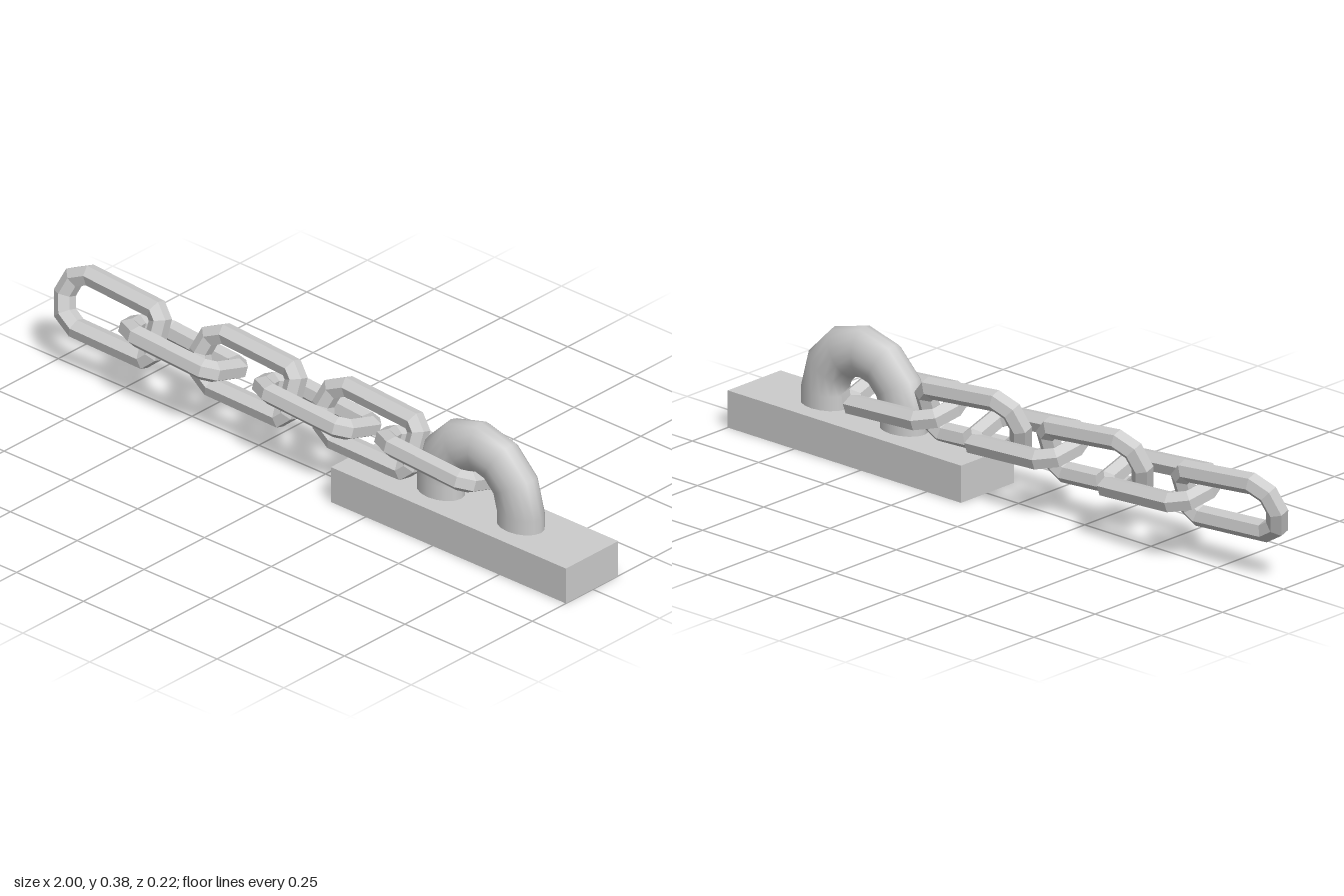
import * as THREE from 'three';

const DEG = Math.PI / 180;

// Closed faceted tube swept along a flat outline, mitred at each corner
function sweptLoop(points, radius, sides) {
  const positions = [], index = [], n = points.length;
  points.forEach((p, i) => {
    const a = p.clone().sub(points[(i + n - 1) % n]).normalize();
    const b = points[(i + 1) % n].clone().sub(p).normalize();
    const tangent = a.clone().add(b).normalize();
    const out = new THREE.Vector2(tangent.y, -tangent.x);
    const mitre = radius / tangent.dot(a);
    for (let k = 0; k < sides; k++) {
      const t = ((k + 0.5) / sides) * Math.PI * 2;
      const d = mitre * Math.cos(t);
      positions.push(p.x + out.x * d, p.y + out.y * d, radius * Math.sin(t));
      const k2 = (k + 1) % sides, j = (i + 1) % n;
      const v0 = i * sides + k, v1 = i * sides + k2, v2 = j * sides + k2, v3 = j * sides + k;
      index.push(v0, v2, v1, v0, v3, v2);
    }
  });
  const g = new THREE.BufferGeometry();
  g.setAttribute('position', new THREE.Float32BufferAttribute(positions, 3));
  g.setIndex(index);
  g.computeVertexNormals();
  return g;
}

export function createModel() {
  const model = new THREE.Group();
  model.name = 'chainAndAnchor';
  const smooth = new THREE.MeshStandardMaterial({ color: 0xcccccc });
  const faceted = new THREE.MeshStandardMaterial({ color: 0xcccccc, flatShading: true });

  const add = (name, geometry, material, x, y, z, parent = model) => {
    const mesh = new THREE.Mesh(geometry, material);
    mesh.name = name;
    mesh.position.set(x, y, z);
    parent.add(mesh);
    return mesh;
  };

  // Anchor block
  add('base', new THREE.BoxGeometry(0.88, 0.11, 0.216), faceted, 0.56, 0.055, 0.003);

  // Anchor arch: half ring on two short legs, flattened front to back
  const arch = new THREE.Group();
  arch.name = 'anchorArch';
  arch.position.set(0.585, 0.152, 0.004);
  arch.scale.z = 0.74;
  model.add(arch);
  add('archRing', new THREE.TorusGeometry(0.149, 0.076, 16, 6, Math.PI), smooth, 0, 0, 0, arch);
  for (const side of [-1, 1]) {
    add('archLeg', new THREE.CylinderGeometry(0.076, 0.076, 0.06, 16, 1, true),
      smooth, side * 0.149, -0.03, 0, arch);
  }

  // Link outline, counter-clockwise: blunt right end, rounder left end
  const half = [[0.166, 0.05], [0.142, 0.074], [-0.1, 0.079], [-0.149, 0.053]];
  const outline = [
    ...half.map(([x, y]) => new THREE.Vector2(x, y)),
    new THREE.Vector2(-0.166, 0),
    ...half.slice().reverse().map(([x, y]) => new THREE.Vector2(x, -y)),
  ];
  const linkGeometry = sweptLoop(outline, 0.031, 6);

  // Chain: alternate links turned a quarter, all leaning slightly
  const chain = new THREE.Group();
  chain.name = 'chain';
  model.add(chain);
  [-0.805, -0.54, -0.297, -0.04, 0.162, 0.418].forEach((x, i) => {
    const flat = i % 2 === 1;
    const link = add(flat ? 'flatLink' : 'uprightLink', linkGeometry, faceted,
      x, flat ? 0.203 : 0.21, 0, chain);
    link.rotation.set((flat ? 73 : -17) * DEG, (flat ? 0 : 2) * DEG, -4 * DEG, 'ZYX');
  });

  return model;
}
